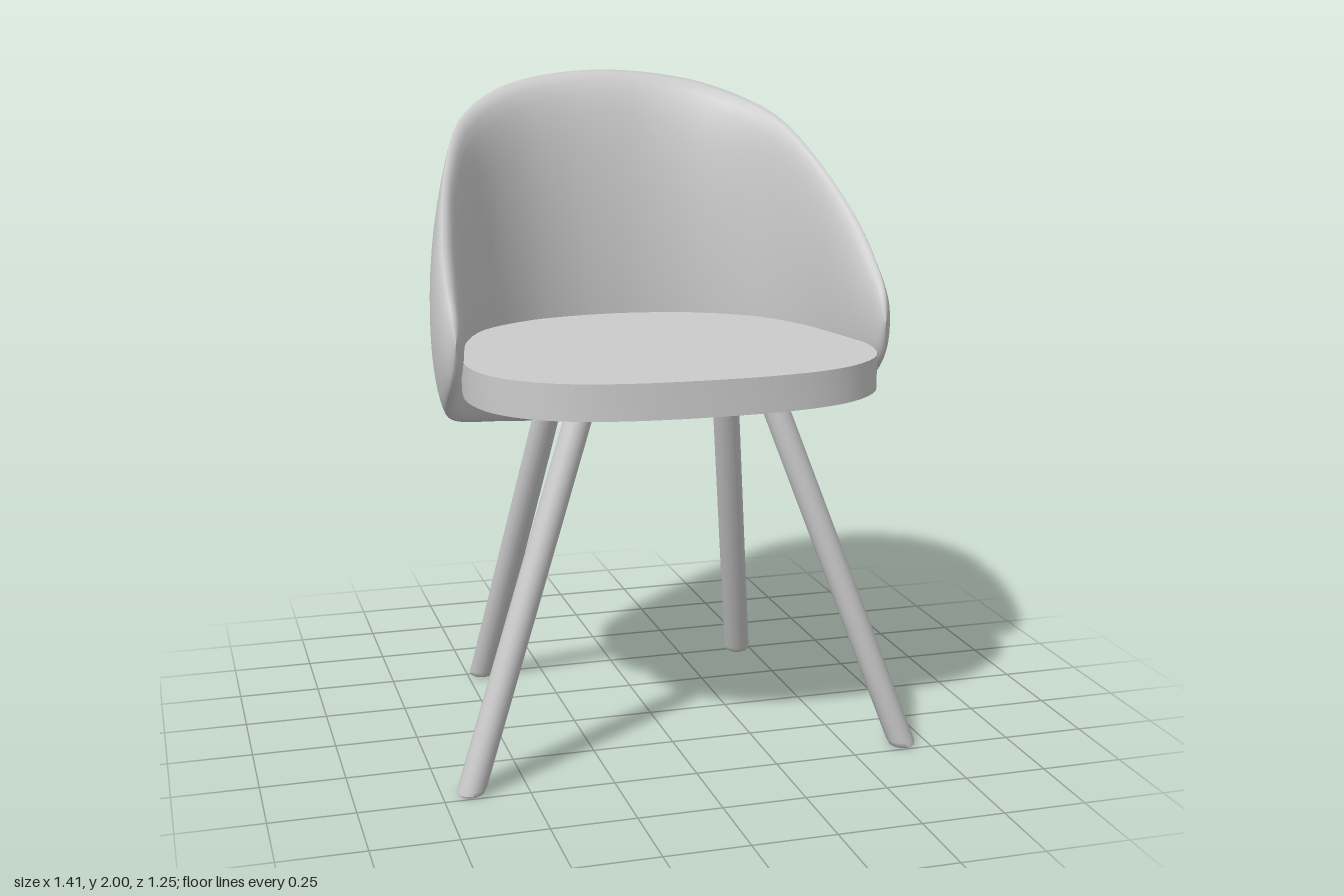
import * as THREE from 'three';
import { toCreasedNormals } from 'three/addons/utils/BufferGeometryUtils.js';

const material = new THREE.MeshStandardMaterial({ color: 0xcccccc });

function part(name, geometry) {
  const mesh = new THREE.Mesh(geometry, material);
  mesh.name = name;
  return mesh;
}

// Seat: flat slab with a rounded outline
function seatGeometry() {
  const half = [[0.3, 0.6], [0.46, 0.535], [0.57, 0.42], [0.615, 0.26], [0.6, 0.08],
    [0.565, -0.08], [0.5, -0.26], [0.4, -0.37], [0.27, -0.45]];
  const outline = [[0, 0.627], ...half, [0, -0.5], ...half.map(([x, z]) => [-x, z]).reverse()];
  const curve = new THREE.CatmullRomCurve3(outline.map(([x, z]) => new THREE.Vector3(x, z, 0)), true);
  const shape = new THREE.Shape(curve.getPoints(80).slice(0, -1).map(p => new THREE.Vector2(p.x, p.y)));
  const geometry = new THREE.ExtrudeGeometry(shape, { depth: 0.105, bevelEnabled: false });
  geometry.rotateX(Math.PI / 2).translate(0, 1.21, 0);
  return toCreasedNormals(geometry, 0.7);
}

// Backrest: padded shell, swept round the seat from arm tip to arm tip.
// Each station: rim (x, z), outer face (x, z), inner face (x, z), top y, bottom y
const stations = [
  [0, -0.622, 0, -0.583, 0, -0.492, 2.0, 0.83],
  [0.2, -0.6, 0.19, -0.572, 0.15, -0.478, 1.985, 0.838],
  [0.37, -0.515, 0.37, -0.525, 0.3, -0.425, 1.945, 0.865],
  [0.52, -0.34, 0.55, -0.36, 0.45, -0.31, 1.86, 0.91],
  [0.6, -0.14, 0.643, -0.15, 0.54, -0.13, 1.72, 0.97],
  [0.645, 0.05, 0.683, 0.04, 0.583, 0.05, 1.57, 1.037],
  [0.66, 0.18, 0.69, 0.16, 0.608, 0.18, 1.45, 1.1],
  [0.658, 0.26, 0.682, 0.25, 0.628, 0.26, 1.37, 1.175],
  [0.652, 0.292, 0.652, 0.292, 0.652, 0.292, 1.285, 1.285],
];

function shellGeometry() {
  const mirrored = stations.slice(1).reverse().map(r => r.map((v, k) => (k < 6 && k % 2 === 0 ? -v : v)));
  const rows = [...mirrored, ...stations];
  const perSpan = 4, around = 36, spans = rows.length - 1, n = spans * perSpan;
  const cubic = (a, b, c, d, t) =>
    b + 0.5 * t * (c - a + t * (2 * a - 5 * b + 4 * c - d + t * (3 * (b - c) + d - a)));
  const sample = i => {
    const s = Math.min(Math.floor(i / perSpan), spans - 1), t = i / perSpan - s;
    const row = k => rows[Math.max(0, Math.min(spans, k))];
    return rows[s].map((_, k) => cubic(row(s - 1)[k], row(s)[k], row(s + 1)[k], row(s + 2)[k], t));
  };
  const positions = [], index = [];
  for (let i = 0; i <= n; i++) {
    const [rx, rz, ox, oz, ix, iz, top, bottom] = sample(i);
    const side = Math.abs(2 * i / n - 1);
    for (let j = 0; j < around; j++) {
      const a = j / around * Math.PI * 2, c = Math.cos(a);
      const outer = c > 0;
      const w = Math.pow(Math.abs(c), outer ? 2 - 1.1 * side : 0.85);
      positions.push(
        rx + ((outer ? ox : ix) - rx) * w,
        (top + bottom) / 2 + (top - bottom) / 2 * Math.sin(a),
        rz + ((outer ? oz : iz) - rz) * w);
      if (i < n) {
        const p = i * around + j, q = i * around + (j + 1) % around;
        index.push(p, q, p + around, q, q + around, p + around);
      }
    }
  }
  const geometry = new THREE.BufferGeometry();
  geometry.setAttribute('position', new THREE.Float32BufferAttribute(positions, 3));
  geometry.setIndex(index);
  geometry.computeVertexNormals();
  return geometry;
}

// Leg: round rod sheared from foot to top so both ends stay level
function legGeometry(foot, top) {
  const height = 1.108;
  const profile = [[0, 0], [0.03, 0], [0.039, 0.006], [0.042, 0.02], [0.042, height], [0, height]];
  const geometry = new THREE.LatheGeometry(profile.map(([x, y]) => new THREE.Vector2(x, y)), 20);
  const p = geometry.attributes.position;
  for (let i = 0; i < p.count; i++) {
    const t = p.getY(i) / height;
    p.setX(i, p.getX(i) + foot[0] + (top[0] - foot[0]) * t);
    p.setZ(i, p.getZ(i) + foot[1] + (top[1] - foot[1]) * t);
  }
  return toCreasedNormals(geometry, 0.9);
}

export function createModel() {
  const chair = new THREE.Group();
  chair.name = 'chair';
  chair.add(part('seat', seatGeometry()), part('backrest', shellGeometry()));
  for (const [side, s] of [['Left', 1], ['Right', -1]]) {
    chair.add(part('front' + side + 'Leg', legGeometry([0.67 * s, 0.463], [0.28 * s, 0.285])));
    chair.add(part('rear' + side + 'Leg', legGeometry([0.453 * s, -0.488], [0.27 * s, -0.1])));
  }
  return chair;
}
